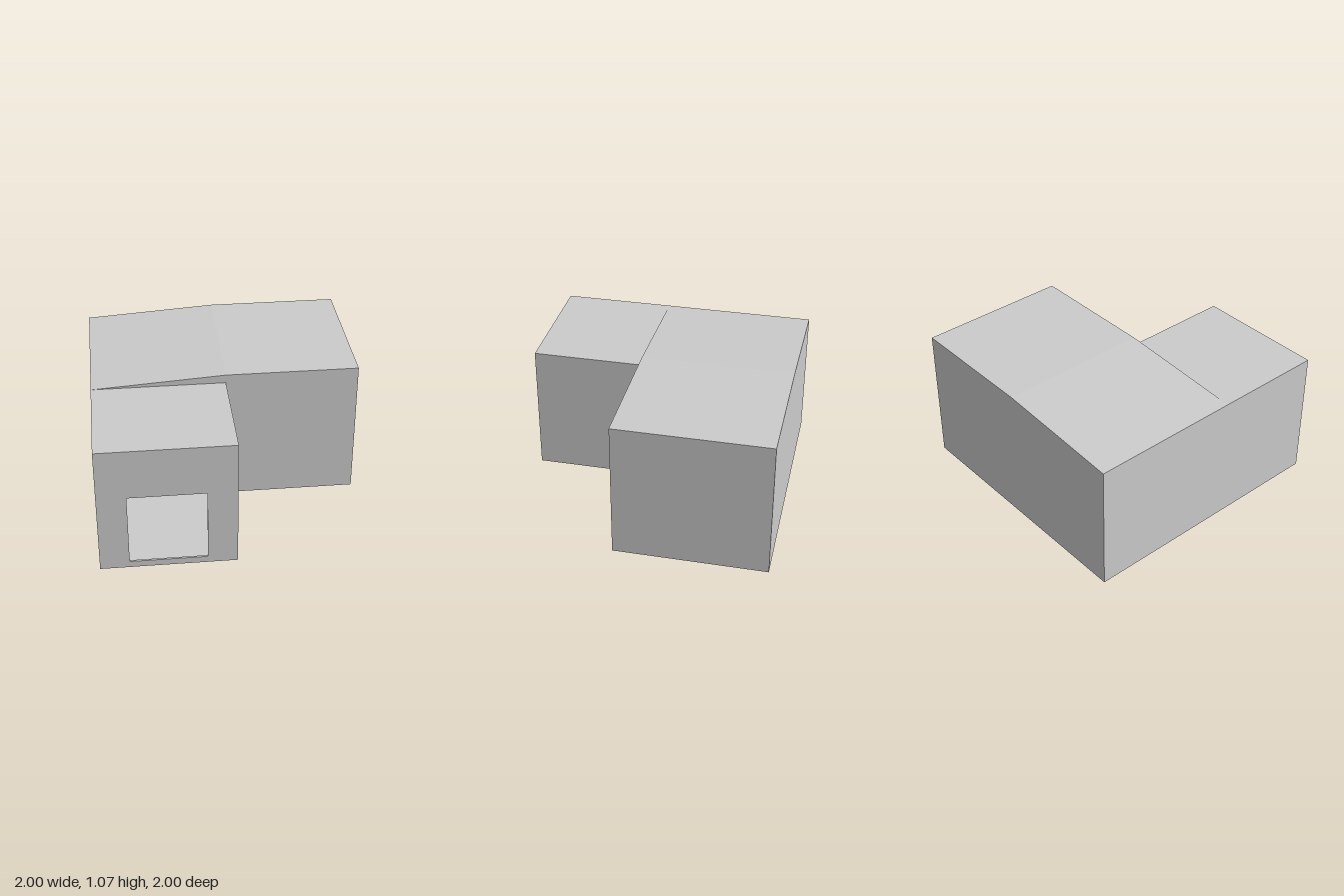
import * as THREE from 'three';

const material = new THREE.MeshStandardMaterial({ color: 0xcccccc, flatShading: true });

const WALL = 0.02;    // thickness of the porch walls
const FLOOR = 0.025;  // thickness of the porch floor
const FRONT = 0.015;  // thickness of the porch front panel
const SPLIT = 0.155;  // z where the porch meets the hall

function add(group, name, geometry, x = 0, y = 0, z = 0) {
  const mesh = new THREE.Mesh(geometry, material);
  mesh.name = name;
  mesh.position.set(x, y, z);
  group.add(mesh);
}

// Box given by its lower and upper corners
function addBox(group, name, a, b) {
  const size = b.map((v, i) => v - a[i]);
  const mid = b.map((v, i) => (v + a[i]) / 2);
  add(group, name, new THREE.BoxGeometry(...size), ...mid);
}

// Rectangle path with small rounded corners
function roundedRect(x0, y0, x1, y1, r) {
  const p = new THREE.Path();
  p.absarc(x1 - r, y0 + r, r, -Math.PI / 2, 0);
  p.absarc(x1 - r, y1 - r, r, 0, Math.PI / 2);
  p.absarc(x0 + r, y1 - r, r, Math.PI / 2, Math.PI);
  p.absarc(x0 + r, y0 + r, r, Math.PI, Math.PI * 1.5);
  p.closePath();
  return p;
}

const polygon = (points) => new THREE.Shape(points.map(([x, y]) => new THREE.Vector2(x, y)));

export function createModel() {
  const model = new THREE.Group();
  model.name = 'building';

  // Main hall: roof rises gently to the middle, then runs flat
  const hall = polygon([[-1, 0], [1, 0], [1, 1.065], [0, 1.065], [-1, 1]]);
  add(model, 'mainHall',
    new THREE.ExtrudeGeometry(hall, { depth: SPLIT + 1, bevelEnabled: false }), 0, 0, -1);

  // Hollow porch, closed at the back by the hall
  const porch = new THREE.Group();
  porch.name = 'porch';
  model.add(porch);

  const back = 1 - FRONT;
  addBox(porch, 'porchFloor', [-1, 0, SPLIT], [0, FLOOR, back]);
  addBox(porch, 'porchRoof', [-1, 1 - WALL, SPLIT], [0, 1, back]);
  for (const [name, x] of [['porchRightWall', -1], ['porchLeftWall', -WALL]]) {
    addBox(porch, name, [x, FLOOR, SPLIT], [x + WALL, 1 - WALL, back]);
  }

  // Thin front panel with the square opening
  const panel = polygon([[-1, 0], [0, 0], [0, 1], [-1, 1]]);
  panel.holes.push(roundedRect(-0.785, 0.05, -0.218, 0.612, 0.008));
  add(porch, 'porchFront',
    new THREE.ExtrudeGeometry(panel, { depth: FRONT, bevelEnabled: false, curveSegments: 4 }), 0, 0, back);

  return model;
}
